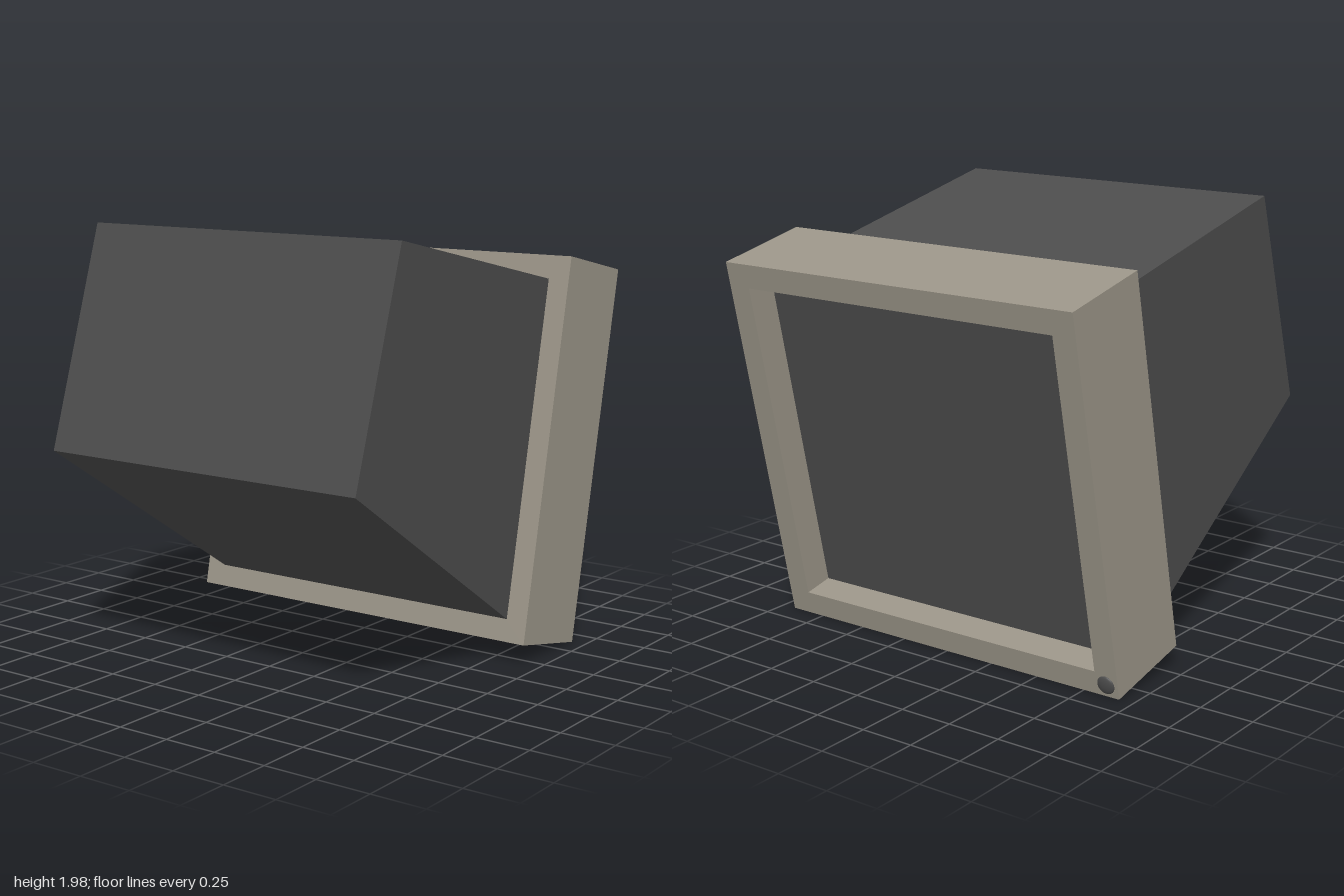
import * as THREE from 'three';

export function createModel() {
  const model = new THREE.Group();
  const casing = new THREE.MeshStandardMaterial({ color: 0x9a9487 });
  casing.name = 'beigeCasing';
  const dark = new THREE.MeshStandardMaterial({ color: 0x4c4c4c });
  dark.name = 'darkGrey';

  const add = (parent, name, geometry, material) => {
    const mesh = new THREE.Mesh(geometry, material);
    mesh.name = name;
    parent.add(mesh);
    return mesh;
  };
  const rectangle = (Type, w, h) => new Type([
    new THREE.Vector2(-w / 2, -h / 2), new THREE.Vector2(w / 2, -h / 2),
    new THREE.Vector2(w / 2, h / 2), new THREE.Vector2(-w / 2, h / 2),
  ]);

  // Wedge-shaped rear housing: side profile extruded across the width
  const profile = new THREE.Shape([
    [-1, 0.985], [0.202, 0.2], [0.52, 1.73], [-0.68, 1.985],
  ].map(([x, y]) => new THREE.Vector2(x, y)));
  const housing = new THREE.ExtrudeGeometry(profile, { depth: 1.655, bevelEnabled: false });
  housing.translate(0, 0, -0.8275);
  add(model, 'rearHousing', housing, dark);

  // Tilted front assembly; its local +x points out of the screen
  const height = 1.773, width = 1.86, depth = 0.468, border = 0.112;
  const front = new THREE.Group();
  front.name = 'frontAssembly';
  front.position.set(0.588, 0.92, 0);
  front.rotation.z = -0.207;
  model.add(front);

  // Bezel with a rectangular opening
  const outline = rectangle(THREE.Shape, width, height);
  outline.holes.push(rectangle(THREE.Path, width - 2 * border, height - 2 * border));
  const bezel = new THREE.ExtrudeGeometry(outline, { depth, bevelEnabled: false });
  bezel.translate(0, 0, -depth / 2).rotateY(Math.PI / 2);
  add(front, 'bezel', bezel, casing);

  // Recessed flat screen
  const screen = add(front, 'screen',
    new THREE.BoxGeometry(0.008, height - 2 * border, width - 2 * border), dark);
  screen.position.x = depth / 2 - 0.15;

  // Shallow domed button in the lower corner
  const button = add(front, 'powerButton', new THREE.SphereGeometry(0.043, 24, 16), dark);
  button.scale.x = 0.32;
  button.position.set(depth / 2, -height / 2 + 0.057, -0.87);

  return model;
}
